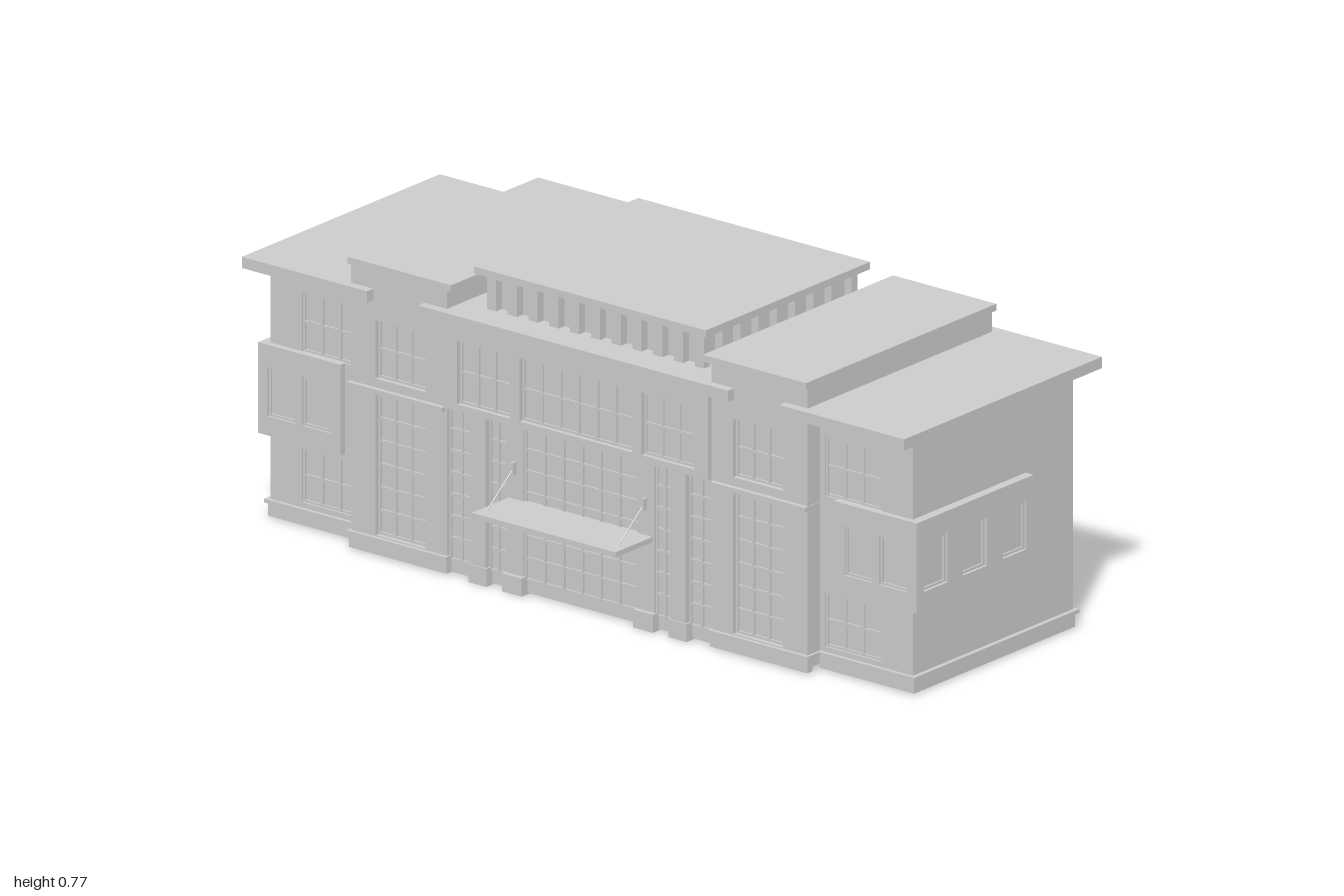
import * as THREE from 'three';

const material = new THREE.MeshStandardMaterial({ color: 0xcccccc, flatShading: true });
const DEPTH = 0.016; // thickness of the outer wall skin

// Box given by its limits on each axis.
function box(parent, name, x0, x1, y0, y1, z0, z1) {
  const mesh = new THREE.Mesh(
    new THREE.BoxGeometry(Math.abs(x1 - x0), y1 - y0, Math.abs(z1 - z0)), material);
  mesh.position.set((x0 + x1) / 2, (y0 + y1) / 2, (z0 + z1) / 2);
  mesh.name = name;
  parent.add(mesh);
}

// Window frame and slim glazing bars, filling a rectangle on the plane z = 0.
function glazing(parent, u0, u1, y0, y1, cols, rows) {
  const t = 0.006, d = 0.005;
  for (let i = 0; i <= cols; i++) {
    const u = u0 + t / 2 + (u1 - u0 - t) * i / cols;
    box(parent, 'glazingBar', u - t / 2, u + t / 2, y0, y1, 0, d);
  }
  for (let j = 0; j <= rows; j++) {
    const y = y0 + t / 2 + (y1 - y0 - t) * j / rows;
    box(parent, 'glazingBar', u0, u1, y - t / 2, y + t / 2, 0, d - 0.0005);
  }
}

// Wall skin with window openings. Local +z points outwards from its inner plane.
// Each window: [centre u, width, bottom, top, columns, rows].
function facade(parent, name, x, z, turn, width, y0, y1, windows, depth = DEPTH) {
  const group = new THREE.Group();
  group.name = name;
  group.position.set(x, 0, z);
  group.rotation.y = turn;
  const h = width / 2;
  const shape = new THREE.Shape([[-h, y0], [h, y0], [h, y1], [-h, y1]].map(p => new THREE.Vector2(...p)));
  for (const [u, w, b, t, cols, rows] of windows) {
    const l = u - w / 2, r = u + w / 2;
    shape.holes.push(new THREE.Path([[l, b], [l, t], [r, t], [r, b]].map(p => new THREE.Vector2(...p))));
    glazing(group, l, r, b, t, cols, rows);
  }
  const wall = new THREE.Mesh(
    new THREE.ExtrudeGeometry(shape, { depth, bevelEnabled: false }), material);
  wall.name = name + 'Wall';
  group.add(wall);
  parent.add(group);
}

const ROWS = [[0.06, 0.195], [0.24, 0.385], [0.435, 0.585]]; // storeys
const ROOF = [0.634, 0.662];

function centreBlock(g) {
  box(g, 'centreCore', -0.4, 0.4, 0.035, 0.635, -0.394, 0.275);
  box(g, 'centreUpperCore', -0.4, 0.4, 0.42, 0.635, 0.275, 0.287);
  const trio = ([b, t]) => [[-0.278, 0.16, b, t, 3, 2], [0, 0.34, b, t, 6, 2], [0.278, 0.16, b, t, 3, 2]];
  facade(g, 'centreFrontFacade', 0, 0.287, 0, 0.8, 0.42, 0.635, trio([0.438, 0.595]));
  facade(g, 'centreBackFacade', 0, -0.394, Math.PI, 0.8, 0.004, 0.635, ROWS.flatMap(trio));
  box(g, 'centreBackLedge', -0.405, 0.405, 0.038, 0.047, -0.416, -0.4);

  // Entrance glazing set just behind the columns
  const entrance = new THREE.Group();
  entrance.name = 'entranceGlazing';
  entrance.position.z = 0.275;
  for (const [l, r, c] of [[-0.4, -0.325, 2], [-0.28, -0.223, 2], [-0.173, 0.173, 6], [0.223, 0.28, 2], [0.325, 0.4, 2]])
    glazing(entrance, l, r, 0.035, 0.42, c, 7);
  g.add(entrance);
  box(g, 'entranceThreshold', -0.4, 0.4, 0.004, 0.035, 0.25, 0.275);

  // Columns with bases, and the bearers below the floor
  for (const s of [-1, 1]) {
    for (const [x, w, front] of [[0.302, 0.045, 0.294], [0.198, 0.05, 0.285]]) {
      box(g, 'entranceColumn', s * (x - w / 2), s * (x + w / 2), 0.004, 0.42, 0.25, front);
      box(g, 'columnBase', s * (x - w / 2 - 0.005), s * (x + w / 2 + 0.005), 0, 0.045, 0.246, 0.297);
      box(g, 'floorBearer', s * (x - w / 2), s * (x + w / 2), 0.004, 0.035, -0.394, 0.25);
    }
    box(g, 'floorBearer', s * 0.03, s * 0.13, 0.004, 0.035, -0.394, 0.25);
  }
  box(g, 'centreRoof', -0.468, 0.468, ...ROOF, -0.422, 0.313);
}

function tower(g, s) {
  const x = s * 0.545;
  box(g, 'towerCore', s * 0.4, s * 0.69, 0.035, 0.711, -0.379, 0.274);
  facade(g, 'towerFrontFacade', x, 0.274, 0, 0.29, 0.004, 0.711,
    [[-s * 0.005, 0.15, 0.05, 0.4, 3, 6], [-s * 0.005, 0.15, 0.44, 0.585, 3, 2]]);
  facade(g, 'towerBackFacade', x, -0.379, Math.PI, 0.29, 0.004, 0.711,
    ROWS.map(([b, t]) => [s * 0.005, 0.15, b, t, 3, 2]));
  box(g, 'towerLedge', s * 0.405, s * 0.692, 0.406, 0.418, 0.25, 0.302);
  box(g, 'towerCap', s * 0.38, s * 0.692, 0.711, 0.728, -0.408, 0.299);
  // Plinth stops short of the wing, leaving a joint on the underside
  box(g, 'towerPlinth', s * 0.398, s * 0.672, 0.004, 0.038, -0.41, 0.294);
  for (const [z0, z1] of [[0.274, 0.294], [-0.41, -0.379]])
    box(g, 'towerPlinthEnd', s * 0.672, s * 0.692, 0.004, 0.038, z0, z1);
  box(g, 'towerPlinthLedge', s * 0.395, s * 0.697, 0.038, 0.047, -0.415, 0.3);
}

function wing(g, s) {
  const x = s * 0.83, u = -s * 0.04;
  box(g, 'wingCore', s * 0.69, s * 0.97, 0.005, 0.635, -0.342, 0.235);
  facade(g, 'wingFrontFacade', x, 0.235, 0, 0.28, 0.005, 0.635,
    [ROWS[0], ROWS[2]].map(([b, t]) => [u, 0.17, b, t, 3, 2]), 0.009);
  facade(g, 'wingBackFacade', x, -0.342, Math.PI, 0.28, 0.005, 0.635,
    ROWS.map(([b, t]) => [-u, 0.17, b, t, 3, 2]), 0.009);
  box(g, 'wingPlinth', s * 0.69, s * 0.975, 0.004, 0.038, -0.352, 0.246);
  box(g, 'wingPlinthLedge', s * 0.69, s * 0.982, 0.038, 0.047, -0.36, 0.254);
  box(g, 'wingRoof', s * 0.622, s, ...ROOF, -0.422, 0.313);

  // Projecting bay wrapped around the front corner
  box(g, 'baySideCore', s * 0.9, s * 0.982, 0.21, 0.436, -0.175, 0.25);
  box(g, 'bayFrontCore', s * 0.745, s * 0.9, 0.21, 0.436, 0.235, 0.25);
  facade(g, 'bayFrontFacade', s * 0.8635, 0.25, 0, 0.237, 0.21, 0.436,
    [[-s * 0.045, 0.085, 0.258, 0.38, 1, 1], [s * 0.06, 0.085, 0.258, 0.38, 1, 1]], 0.01);
  facade(g, 'baySideFacade', s * 0.982, 0.0425, s * Math.PI / 2, 0.435, 0.21, 0.436,
    [0.188, 0.043, -0.105].map(z => [-s * (z - 0.0425), 0.088, 0.258, 0.38, 1, 1]), 0.012);
}

function penthouse(g) {
  const X = 0.328, Z0 = -0.34, Z1 = 0.23, inset = 0.022, half = 0.014;
  box(g, 'penthouseCore', -X + inset, X - inset, 0.65, 0.75, Z0 + inset, Z1 - inset);
  for (let i = 0; i <= 10; i++) {
    const x = -X + half + (2 * X - 2 * half) * i / 10;
    for (const [a, b] of [[Z1 - inset, Z1], [Z0, Z0 + inset]])
      box(g, 'penthouseFin', x - half, x + half, 0.66, 0.75, a, b);
  }
  for (let i = 1; i < 8; i++) {
    const z = Z0 + half + (Z1 - Z0 - 2 * half) * i / 8;
    for (const s of [-1, 1])
      box(g, 'penthouseFin', s * (X - inset), s * X, 0.66, 0.75, z - half, z + half);
  }
  box(g, 'penthouseRoof', -0.35, 0.35, 0.75, 0.768, -0.36, 0.25);
}

function canopy(g) {
  box(g, 'canopySlab', -0.217, 0.217, 0.22, 0.233, 0.27, 0.422);
  for (const s of [-1, 1]) {
    const from = new THREE.Vector3(s * 0.197, 0.307, 0.297);
    const to = new THREE.Vector3(s * 0.197, 0.22, 0.408);
    const rod = new THREE.Mesh(new THREE.CylinderGeometry(0.002, 0.002, from.distanceTo(to), 6), material);
    rod.name = 'canopyRod';
    rod.position.copy(from).lerp(to, 0.5);
    rod.quaternion.setFromUnitVectors(new THREE.Vector3(0, 1, 0), to.clone().sub(from).normalize());
    g.add(rod);
    box(g, 'rodWallPlate', s * 0.193, s * 0.201, 0.297, 0.327, 0.28, 0.299);
  }
}

export function createModel() {
  const model = new THREE.Group();
  model.name = 'building';
  const part = (name, build, ...args) => {
    const g = new THREE.Group();
    g.name = name;
    build(g, ...args);
    model.add(g);
  };
  part('centreBlock', centreBlock);
  part('penthouse', penthouse);
  part('entranceCanopy', canopy);
  for (const [side, s] of [['left', 1], ['right', -1]]) {
    part(side + 'Tower', tower, s);
    part(side + 'Wing', wing, s);
  }
  return model;
}
